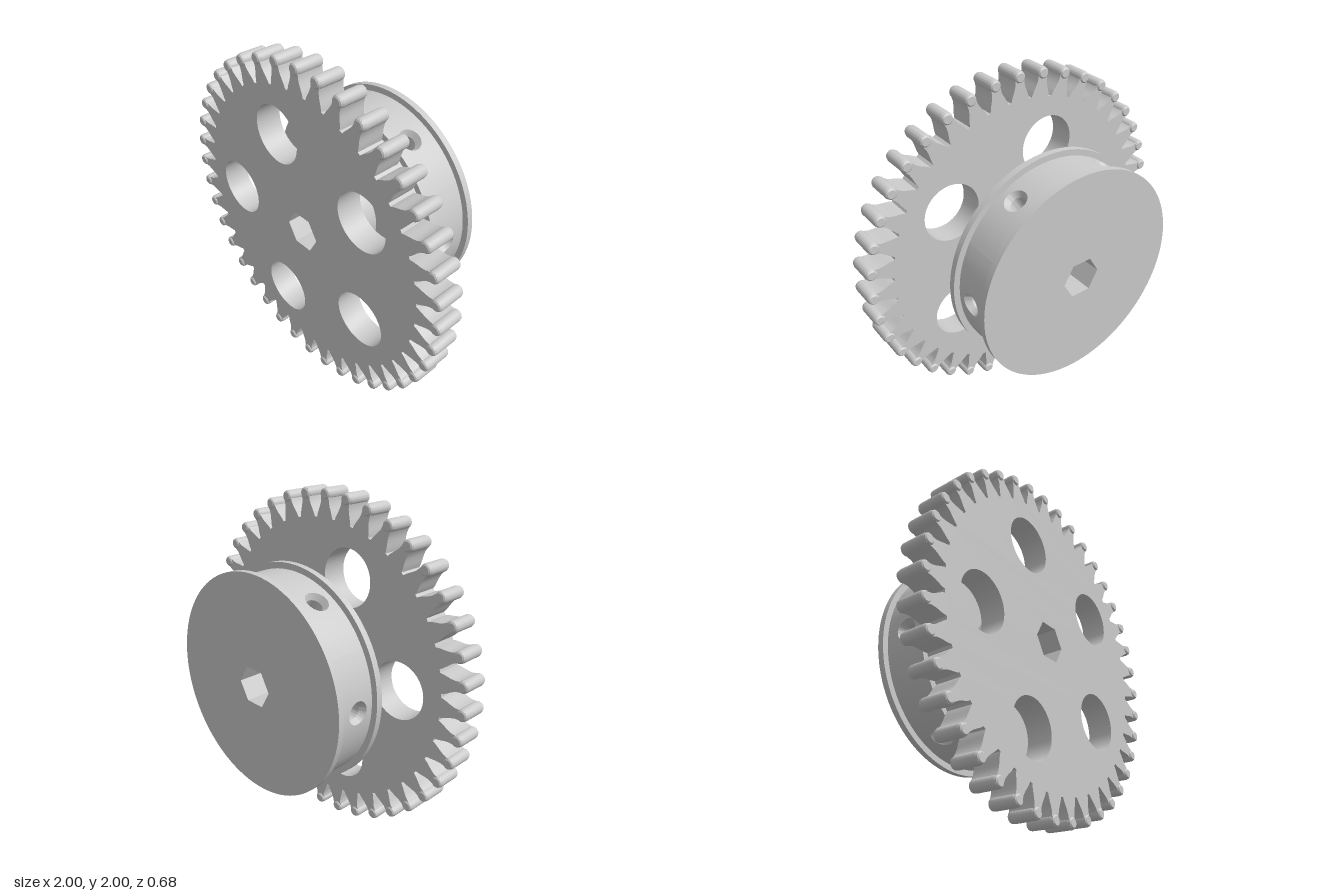
import * as THREE from 'three';
import { toCreasedNormals } from 'three/addons/utils/BufferGeometryUtils.js';

const BORE = 0.117, HUB_R = 0.235, DRUM_R = 0.595;
const GEAR_BACK = 0.185, GEAR_FRONT = 0.335;
const TEETH = 40, TIP_R = 0.034, TIP_C = 0.966;

const material = new THREE.MeshStandardMaterial({ color: 0xcccccc });
const inside = new THREE.MeshStandardMaterial({ color: 0xcccccc, side: THREE.DoubleSide, flatShading: true });

function add(parent, name, geometry, mat = material) {
  const mesh = new THREE.Mesh(geometry, mat);
  mesh.name = name;
  parent.add(mesh);
  return mesh;
}

function circlePath(x, y, r, n = 48) {
  const pts = [];
  for (let i = 0; i < n; i++) {
    const a = (i / n) * Math.PI * 2;
    pts.push(new THREE.Vector2(x + r * Math.cos(a), y + r * Math.sin(a)));
  }
  return pts;
}

// Flat plate between two z values, with holes given as point loops
function plate(outline, holes, z0, z1) {
  const shape = new THREE.Shape(outline);
  shape.holes = holes.map((h) => new THREE.Path(h));
  const geo = new THREE.ExtrudeGeometry(shape, { depth: z1 - z0, bevelEnabled: false });
  geo.translate(0, 0, z0);
  return toCreasedNormals(geo, 0.5);
}

// Surface patch facing +x, swept through loops that morph from a rectangle (t = 1) to a hole (t = 0).
// Each row: half sizes A (y) and B (z), z offset, hole radius by angle, and surface height x = f(y).
function loopPatch(rows, n = 96) {
  const pos = [], idx = [];
  rows.forEach(({ t, A = 0, B = 0, offset = 0, hole, f }, i) => {
    for (let k = 0; k < n; k++) {
      const a = (k / n) * Math.PI * 2, c = Math.cos(a), s = Math.sin(a);
      const m = Math.max(Math.abs(c), Math.abs(s)), r = hole(a);
      const y = t * A * c / m + (1 - t) * r * c;
      const z = t * (B * s / m + offset) + (1 - t) * r * s;
      pos.push(f(y), y, z);
      if (i < rows.length - 1) {
        const p = i * n + k, q = i * n + (k + 1) % n;
        idx.push(p, q, q + n, p, q + n, p + n);
      }
    }
  });
  const geo = new THREE.BufferGeometry();
  geo.setAttribute('position', new THREE.Float32BufferAttribute(pos, 3));
  geo.setIndex(idx);
  return toCreasedNormals(geo, 0.4);
}

const round = (R) => (y) => Math.sqrt(Math.max(0, R * R - y * y));
const steps = [1, 0.875, 0.75, 0.625, 0.5, 0.375, 0.25, 0.125, 0];

function buildGear(hexBore) {
  const gear = new THREE.Group();
  gear.name = 'gear';

  // Half tooth profile from root to neck: [radius, half width]
  const flank = [[0.838, 0.057], [0.858, 0.052], [0.875, 0.046], [0.9, 0.036], [0.925, 0.029], [0.95, 0.028]];
  const outline = [];
  for (let i = 0; i < TEETH; i++) {
    const a = (i / TEETH) * Math.PI * 2;
    const put = (r, w) => outline.push(new THREE.Vector2(
      r * Math.cos(a) - w * Math.sin(a), r * Math.sin(a) + w * Math.cos(a)));
    flank.forEach(([r, w]) => put(r, -w));
    for (let j = -3; j <= 3; j++) {
      const b = j * 0.4;
      put(TIP_C + 0.031 * Math.cos(b), 0.031 * Math.sin(b));
    }
    [...flank].reverse().forEach(([r, w]) => put(r, w));
  }

  // Five lightening holes and the hexagonal bore
  const holes = [hexBore];
  for (let i = 0; i < 5; i++) {
    const a = Math.PI / 5 + (i / 5) * Math.PI * 2;
    holes.push(circlePath(0.567 * Math.cos(a), 0.567 * Math.sin(a), 0.166));
  }
  add(gear, 'gearPlate', plate(outline, holes, GEAR_BACK, GEAR_FRONT));

  // Chamfered pins forming the tooth tips
  const profile = [[0, -0.084], [0.023, -0.084], [0.03, -0.078], [TIP_R, -0.064],
    [TIP_R, 0.064], [0.03, 0.078], [0.023, 0.084], [0, 0.084]].map(([r, h]) => new THREE.Vector2(r, h));
  const pin = toCreasedNormals(new THREE.LatheGeometry(profile, 16).rotateX(Math.PI / 2), 0.45);
  for (let i = 0; i < TEETH; i++) {
    const a = (i / TEETH) * Math.PI * 2;
    add(gear, 'toothTip', pin).position.set(TIP_C * Math.cos(a), TIP_C * Math.sin(a), 0.26);
  }
  return gear;
}

function buildHub() {
  const hub = new THREE.Group();
  hub.name = 'hub';
  const depth = GEAR_BACK, mid = depth / 2;

  // Side walls pierced by a hexagonal cross hole that opens into the bore
  const hole = (a) => {
    const k = Math.PI / 3;
    const d = ((a % k) + k) % k - k / 2;
    return 0.046 / Math.cos(d - 0) * 1;
  };
  const hexHole = (a) => hole(a + Math.PI / 6 - Math.PI / 3);
  const boreWall = (y) => BORE - Math.abs(y) / Math.sqrt(3);
  const outer = { A: HUB_R * Math.sin(Math.PI / 3), B: mid, hole: hexHole, f: round(HUB_R) };
  const inner = { A: BORE * Math.sin(Math.PI / 3), B: mid, hole: hexHole, f: boreWall };
  const wall = loopPatch([
    ...steps.map((t) => ({ ...outer, t })),
    ...[...steps].reverse().map((t) => ({ ...inner, t })),
  ]);
  for (const turn of [0, Math.PI]) {
    const side = add(hub, 'hubSide', wall);
    side.rotation.z = turn;
    side.position.z = mid;

    // Plain arcs and bore faces above and below
    const arc = new THREE.CylinderGeometry(HUB_R, HUB_R, depth, 16, 1, true, -Math.PI / 6, Math.PI / 3);
    arc.rotateX(Math.PI / 2).rotateZ(turn).translate(0, 0, mid);
    add(hub, 'hubArc', arc);
    const face = new THREE.PlaneGeometry(BORE, depth).rotateX(-Math.PI / 2);
    face.translate(0, -BORE * Math.sin(Math.PI / 3), mid).rotateZ(turn);
    add(hub, 'hubBoreFace', face, inside);
  }
  return hub;
}

function buildDrum(hexBore) {
  const drum = new THREE.Group();
  drum.name = 'drum';
  const z0 = -0.34, z1 = -0.303, z2 = -0.061, z3 = -0.024, holeZ = -0.165;

  // Front lip and the two flanges
  add(drum, 'frontLip', plate(circlePath(0, 0, DRUM_R, 96), [hexBore], z3, 0));
  add(drum, 'frontFlange', plate(circlePath(0, 0, 0.63, 96), [hexBore], z2, z3));
  add(drum, 'rearFlange', plate(circlePath(0, 0, 0.63, 96), [hexBore], z0, z1));

  // Six wall sectors, each with a countersunk blind hole
  const base = {
    A: DRUM_R / 2, B: (z2 - z1) / 2, offset: (z1 + z2) / 2 - holeZ,
    hole: () => 0.064, f: round(DRUM_R),
  };
  const ring = (r, x) => ({ t: 0, hole: () => r, f: () => x });
  const sector = loopPatch([
    ...steps.map((t) => ({ ...base, t })),
    ring(0.044, DRUM_R - 0.035), ring(0.044, DRUM_R - 0.13), ring(0, DRUM_R - 0.13),
  ]);
  for (let i = 0; i < 6; i++) {
    const m = add(drum, 'drumWall', sector);
    m.rotation.z = (i / 6) * Math.PI * 2;
    m.position.z = holeZ;
  }

  // Hexagonal bore through the core
  const bore = new THREE.CylinderGeometry(BORE, BORE, z2 - z1, 6, 1, true, Math.PI / 2);
  bore.rotateX(Math.PI / 2).translate(0, 0, (z1 + z2) / 2);
  add(drum, 'drumBore', bore, inside);
  return drum;
}

export function createModel() {
  const model = new THREE.Group();
  model.name = 'gearWithDrum';
  const hexBore = circlePath(0, 0, BORE, 6);
  model.add(buildGear(hexBore), buildHub(), buildDrum(hexBore));
  model.position.y = 1;
  return model;
}
